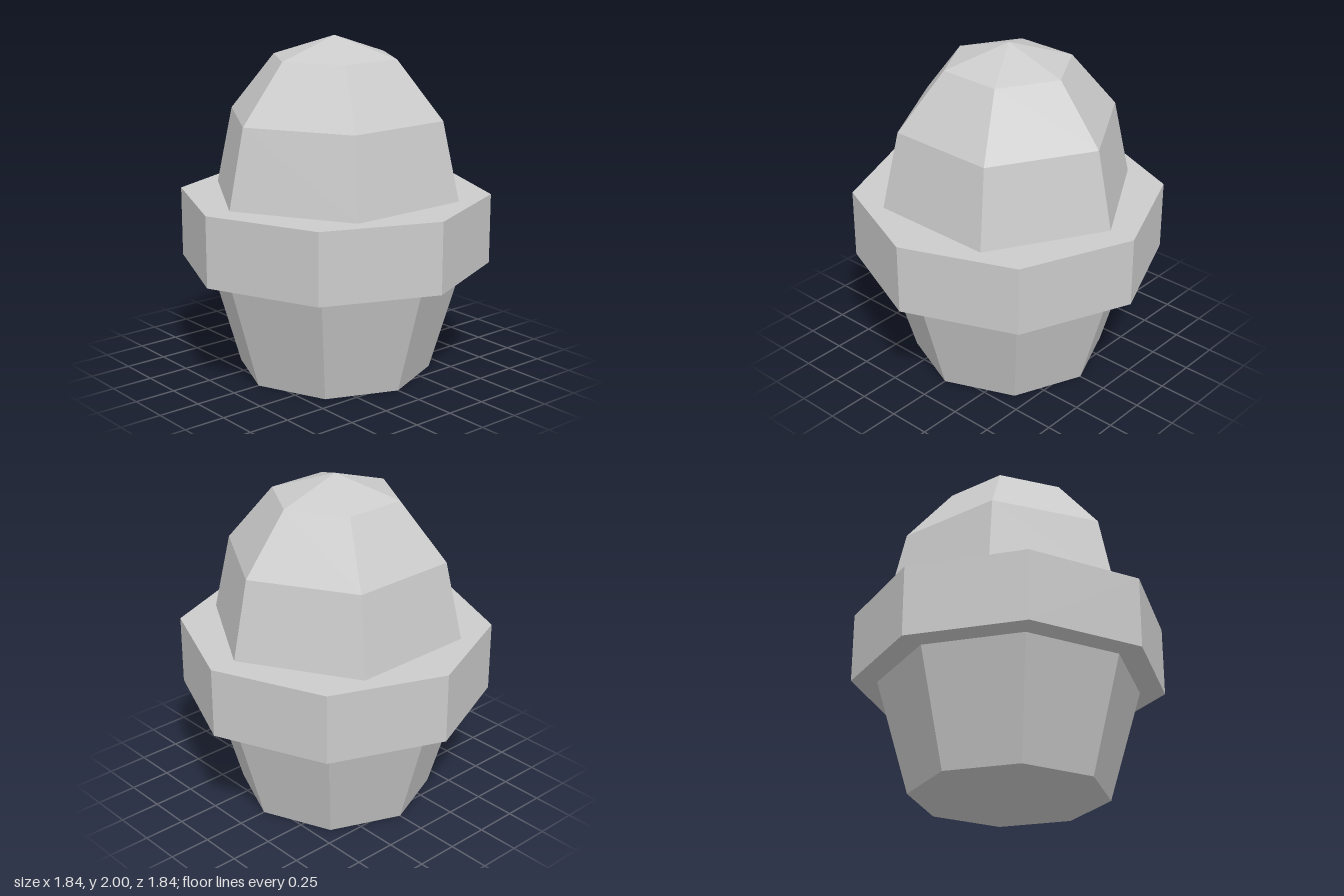
import * as THREE from 'three';

export function createModel() {
  const group = new THREE.Group();
  const material = new THREE.MeshStandardMaterial({ color: 0xcccccc, flatShading: true });

  const add = (name, geometry, y) => {
    const mesh = new THREE.Mesh(geometry, material);
    mesh.name = name;
    mesh.position.y = y;
    group.add(mesh);
    return mesh;
  };

  const cupHeight = 0.665, rimTop = 1.08, rimHeight = rimTop - cupHeight;

  // Tapered eight-sided cup
  add('cup', new THREE.CylinderGeometry(0.768, 0.575, cupHeight, 8), cupHeight / 2);

  // Wide eight-sided rim
  add('rim', new THREE.CylinderGeometry(0.918, 0.918, rimHeight, 8), cupHeight + rimHeight / 2);

  // Six-sided faceted dome, stretched upwards
  const radius = 0.757;
  const dome = add('dome', new THREE.SphereGeometry(radius, 6, 3, 0, Math.PI * 2, 0, Math.PI / 2), rimTop);
  dome.scale.y = (2 - rimTop) / radius;

  return group;
}
